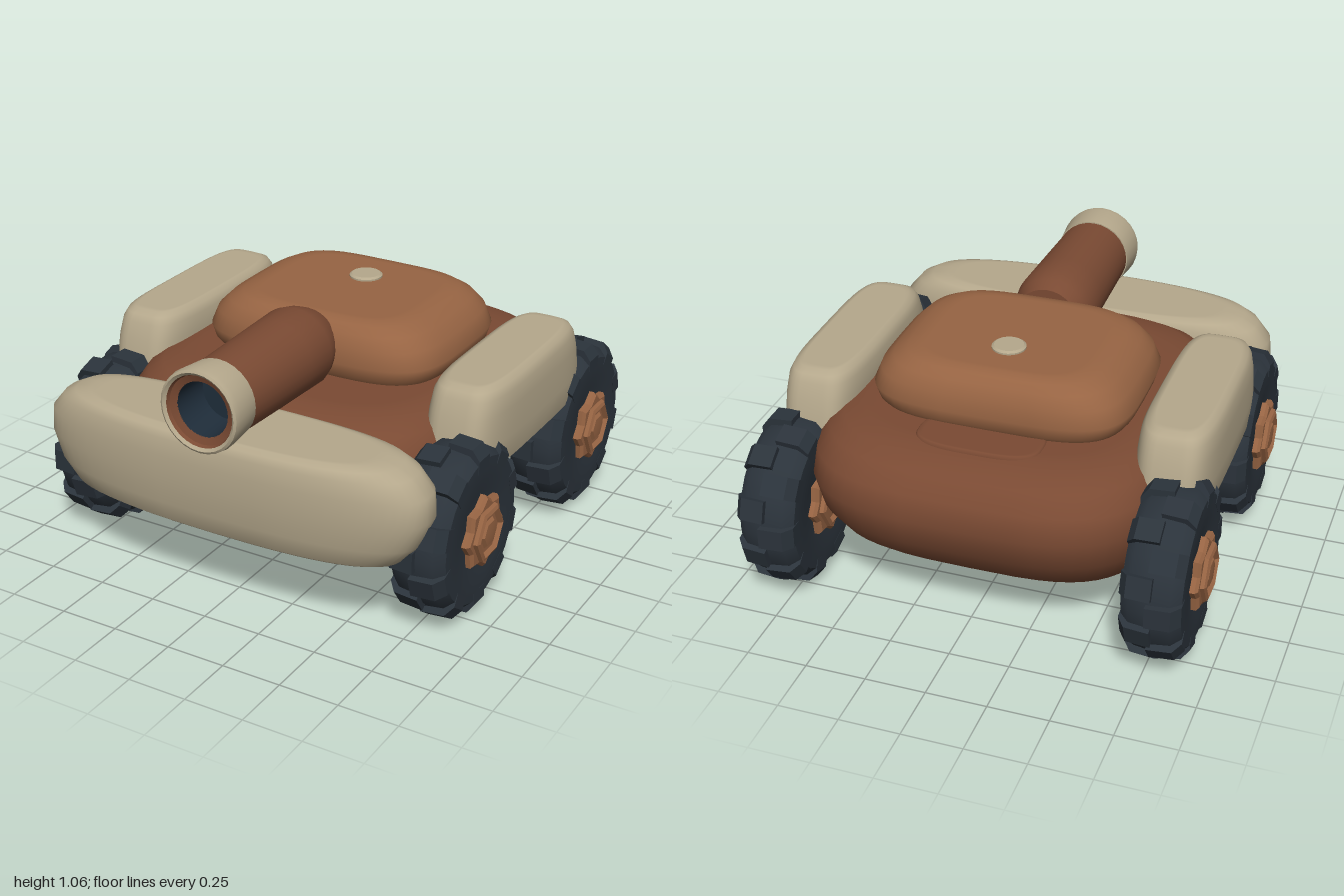
import * as THREE from 'three';
import { toCreasedNormals } from 'three/addons/utils/BufferGeometryUtils.js';

const mat = (color) => new THREE.MeshStandardMaterial({ color });
const hullBrown = mat(0x7a4a33), lightBrown = mat(0x976443), sand = mat(0xb5a88c);
const rubber = mat(0x2b333b), bore = mat(0x1f2d3a);

function add(parent, name, geometry, material, x = 0, y = 0, z = 0) {
  const mesh = new THREE.Mesh(geometry, material);
  mesh.name = name;
  mesh.position.set(x, y, z);
  parent.add(mesh);
  return mesh;
}

// Cushion shape: rounded-rectangle rings [y, halfX, halfZ] stacked upward
function cushion(rings, power, bend = (x, z) => z, segments = 56) {
  const first = rings[0], last = rings[rings.length - 1];
  const inset = (r, s) => [r[0], r[1] * s, r[2] * s];
  const all = [inset(first, 0), inset(first, 0.93), ...rings, inset(last, 0.93), inset(last, 0)];
  const positions = [], index = [];
  const curve = (v) => Math.sign(v) * Math.abs(v) ** (2 / power);
  for (const [y, hx, hz] of all) {
    for (let i = 0; i < segments; i++) {
      const a = (i / segments) * Math.PI * 2;
      const x = curve(Math.cos(a)) * hx, z = curve(Math.sin(a)) * hz;
      positions.push(x, y, bend(x, z));
    }
  }
  for (let r = 0; r < all.length - 1; r++) {
    for (let i = 0; i < segments; i++) {
      const a = r * segments + i, b = r * segments + (i + 1) % segments;
      const c = a + segments, d = b + segments;
      if (r < all.length - 2) index.push(a, c, b);
      if (r > 0) index.push(b, c, d);
      if (r === 0) index.push(c, d, b);
      if (r === all.length - 2) index.push(a, c, b);
    }
  }
  // the collapsed first ring needs only one triangle per segment
  index.splice(0, 0);
  const g = new THREE.BufferGeometry();
  g.setAttribute('position', new THREE.Float32BufferAttribute(positions, 3));
  g.setIndex(index);
  g.computeVertexNormals();
  return g;
}

// Turned shape from [radius, height] points, with sharp edges kept
function turned(points, segments, crease = 0.6) {
  const g = new THREE.LatheGeometry(points.map(([r, h]) => new THREE.Vector2(r, h)), segments);
  return toCreasedNormals(g, crease);
}

function makeWheel(name) {
  const wheel = new THREE.Group();
  wheel.name = name;

  // Tyre with rounded shoulders
  add(wheel, 'tyre', turned([[0, -0.11], [0.17, -0.11], [0.22, -0.12], [0.30, -0.118], [0.335, -0.08],
    [0.345, 0], [0.335, 0.08], [0.30, 0.118], [0.22, 0.12], [0.17, 0.11], [0, 0.11]], 28, 0.8)
    .rotateZ(-Math.PI / 2), rubber);

  // Chunky lugs, staggered between the two shoulders
  const section = new THREE.Shape([[-0.01, 0.32], [0.12, 0.26], [0.122, 0.315], [0.09, 0.358], [-0.01, 0.366]]
    .map(([x, y]) => new THREE.Vector2(x, y)));
  const lug = new THREE.ExtrudeGeometry(section, { depth: 0.09, bevelEnabled: false }).translate(0, 0, -0.045);
  const count = 10;
  for (const side of [0, 1]) {
    for (let i = 0; i < count; i++) {
      const g = lug.clone().rotateY(side * Math.PI).rotateX(((i + side / 2) / count) * Math.PI * 2);
      add(wheel, 'treadLug', g, rubber);
    }
  }

  // Star washer and hexagonal cap on both faces
  const star = new THREE.Shape();
  for (let i = 0; i < 16; i++) {
    const a = (i / 16) * Math.PI * 2, r = i % 2 ? 0.13 : 0.158;
    star[i ? 'lineTo' : 'moveTo'](Math.cos(a) * r, Math.sin(a) * r);
  }
  const washer = new THREE.ExtrudeGeometry(star, {
    depth: 0.03, bevelThickness: 0.012, bevelSize: 0.012, bevelOffset: -0.012, bevelSegments: 1,
  }).translate(0, 0, 0.1).rotateY(Math.PI / 2);
  const cap = turned([[0.125, 0.12], [0.115, 0.158], [0.1, 0.165], [0.085, 0.148], [0.065, 0.148],
    [0.052, 0.16], [0, 0.165]], 6, 0.3).rotateZ(-Math.PI / 2);
  for (const turn of [0, Math.PI]) {
    add(wheel, 'hubWasher', washer, lightBrown).rotation.y = turn;
    add(wheel, 'hubCap', cap, lightBrown).rotation.y = turn;
  }
  return wheel;
}

export function createModel() {
  const model = new THREE.Group();
  model.name = 'toyTank';

  // Hull
  add(model, 'hull', cushion([[0.25, 0.66, 0.66], [0.31, 0.69, 0.73], [0.42, 0.74, 0.81], [0.55, 0.76, 0.85],
    [0.65, 0.745, 0.82], [0.72, 0.70, 0.755], [0.755, 0.65, 0.69], [0.77, 0.58, 0.60]], 3.5), hullBrown, 0, 0, -0.1);
  add(model, 'rearHatch', cushion([[0.70, 0.265, 0.13], [0.765, 0.262, 0.128], [0.776, 0.25, 0.115]], 3.2),
    hullBrown, 0, 0, -0.605);

  // Front bumper, bowed slightly back at its ends
  add(model, 'frontBumper', cushion([[0.34, 0.70, 0.16], [0.36, 0.75, 0.185], [0.44, 0.82, 0.205],
    [0.55, 0.86, 0.215], [0.65, 0.85, 0.215], [0.72, 0.79, 0.205], [0.75, 0.73, 0.19], [0.762, 0.66, 0.165]], 3.2,
    (x, z) => z - (z > 0 ? 0.04 * (x / 0.86) ** 2 : 0)), sand, 0, 0, 0.768);

  // Side fenders
  const fender = cushion([[0.545, 0.14, 0.47], [0.56, 0.157, 0.505], [0.66, 0.162, 0.505], [0.78, 0.16, 0.475],
    [0.845, 0.153, 0.45], [0.875, 0.138, 0.43], [0.89, 0.115, 0.40]], 4);
  for (const [side, name] of [[1, 'leftFender'], [-1, 'rightFender']]) {
    add(model, name, fender, sand, side * 0.74, 0, -0.11);
  }

  // Turret with hatch button
  add(model, 'turret', cushion([[0.75, 0.50, 0.385], [0.79, 0.53, 0.415], [0.84, 0.545, 0.425], [0.91, 0.515, 0.412],
    [0.96, 0.465, 0.385], [0.988, 0.41, 0.35], [0.998, 0.36, 0.31]], 4), lightBrown, 0, 0, -0.155);
  add(model, 'turretButton', turned([[0.07, 0], [0.07, 0.03], [0.06, 0.037], [0, 0.037]], 24),
    sand, 0, 0.975, -0.275);

  // Cannon: barrel, muzzle collar and bore, turned along z
  const cannon = new THREE.Group();
  cannon.name = 'cannon';
  cannon.position.y = 0.887;
  model.add(cannon);
  const alongZ = (points) => turned(points, 28).rotateX(Math.PI / 2);
  add(cannon, 'barrel', alongZ([[0, 0.2], [0.135, 0.2], [0.16, 0.255], [0.174, 0.31], [0.17, 0.45],
    [0.157, 0.86]]), hullBrown);
  add(cannon, 'muzzleCollar', alongZ([[0.15, 0.85], [0.162, 0.85], [0.174, 0.97], [0.17, 0.994], [0.16, 1],
    [0.148, 0.99]]), sand);
  add(cannon, 'muzzleLip', alongZ([[0.149, 0.99], [0.142, 0.975], [0.113, 0.965]]), hullBrown);
  add(cannon, 'bore', alongZ([[0.114, 0.966], [0.11, 0.8], [0, 0.8]]), bore);

  // Wheels
  for (const [side, sideName] of [[1, 'Left'], [-1, 'Right']]) {
    for (const [z, endName] of [[0.425, 'front'], [-0.634, 'rear']]) {
      const wheel = makeWheel(`${endName}${sideName}Wheel`);
      wheel.position.set(side * 0.79, 0.366, z);
      model.add(wheel);
    }
  }
  return model;
}
